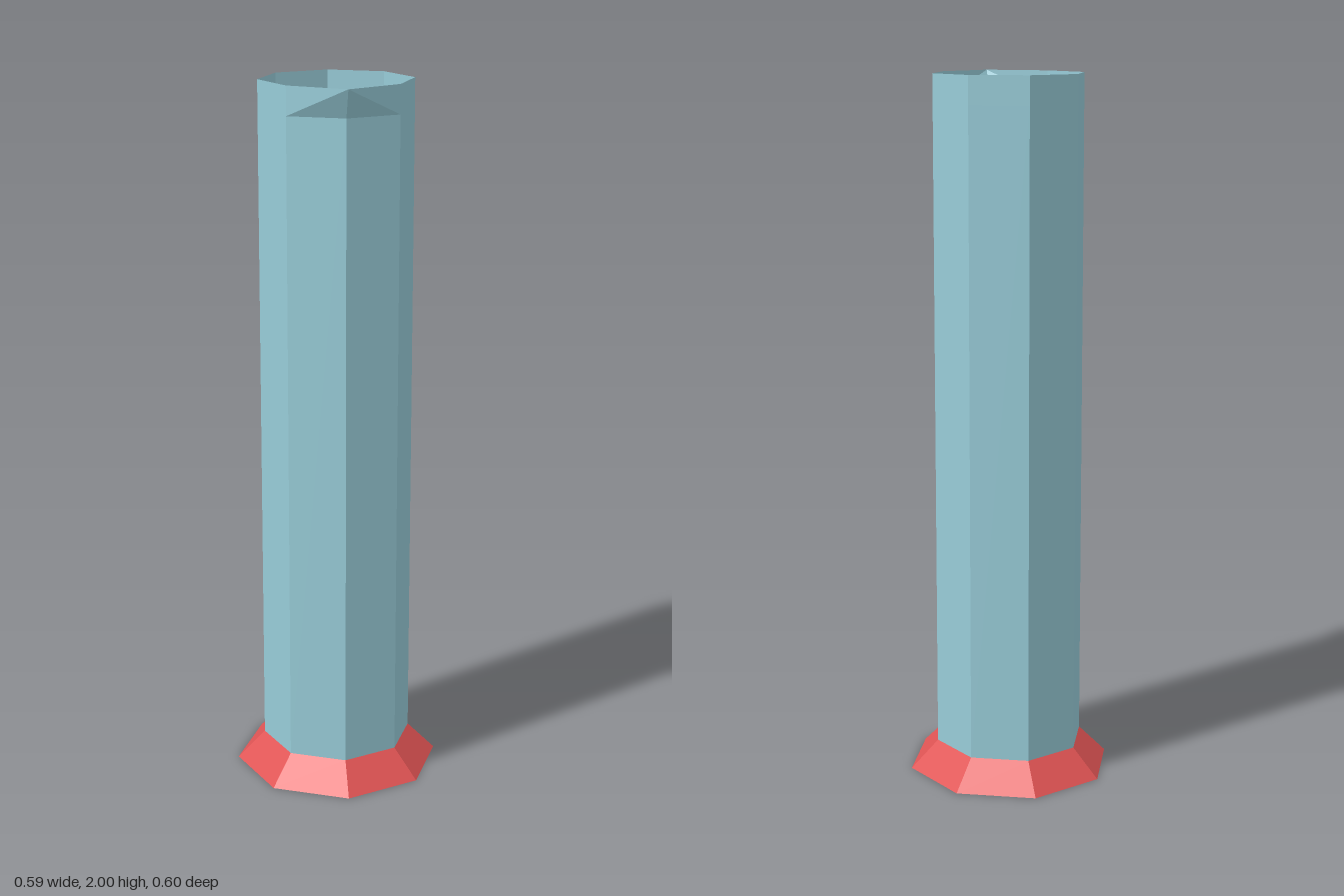
import * as THREE from 'three';

const SIDES = 8, RX = 0.215, RZ = 0.221, BASE_H = 0.08, LIP_Y = 1.92, TOP = 2;

export function createModel() {
  const model = new THREE.Group();
  model.name = 'measuringCylinder';
  const red = new THREE.MeshStandardMaterial({ color: 0xe05454, flatShading: true });
  const glass = new THREE.MeshStandardMaterial({ color: 0x98ccd8, flatShading: true, side: THREE.DoubleSide });

  const add = (name, geometry, material, y = 0) => {
    const mesh = new THREE.Mesh(geometry, material);
    mesh.name = name;
    mesh.position.y = y;
    model.add(mesh);
  };

  // Thin open octagonal wall, slightly deeper than wide
  const wall = (y0, y1, sides = SIDES, start = 0) =>
    new THREE.CylinderGeometry(RX, RX, y1 - y0, sides, 1, true, start, sides * Math.PI * 2 / SIDES)
      .scale(1, 1, RZ / RX);

  // Flared foot, closed above and below
  add('base', new THREE.CylinderGeometry(RX, 0.294, BASE_H, SIDES).scale(1, 1, RZ / RX), red, BASE_H / 2);

  // Tube, and its rim on the six sides without the spout
  add('tube', wall(BASE_H, LIP_Y), glass, (BASE_H + LIP_Y) / 2);
  add('rim', wall(LIP_Y, TOP, SIDES - 2, Math.PI / 4), glass, (LIP_Y + TOP) / 2);

  // Pouring spout: the two front sides drawn forward to a point at the top
  const dx = RX * Math.SQRT1_2, dz = RZ * Math.SQRT1_2;
  const points = [];
  for (const s of [1, -1]) {
    const a = [0, LIP_Y, RZ], b = [s * dx, LIP_Y, dz], c = [s * dx, TOP, dz], d = [0, TOP, 0.262];
    const faces = [[a, b, d], [b, c, d]];
    for (const f of faces) points.push(...(s > 0 ? f : f.reverse()).flat());
  }
  const spout = new THREE.BufferGeometry();
  spout.setAttribute('position', new THREE.Float32BufferAttribute(points, 3));
  spout.computeVertexNormals();
  add('spout', spout, glass);

  return model;
}
